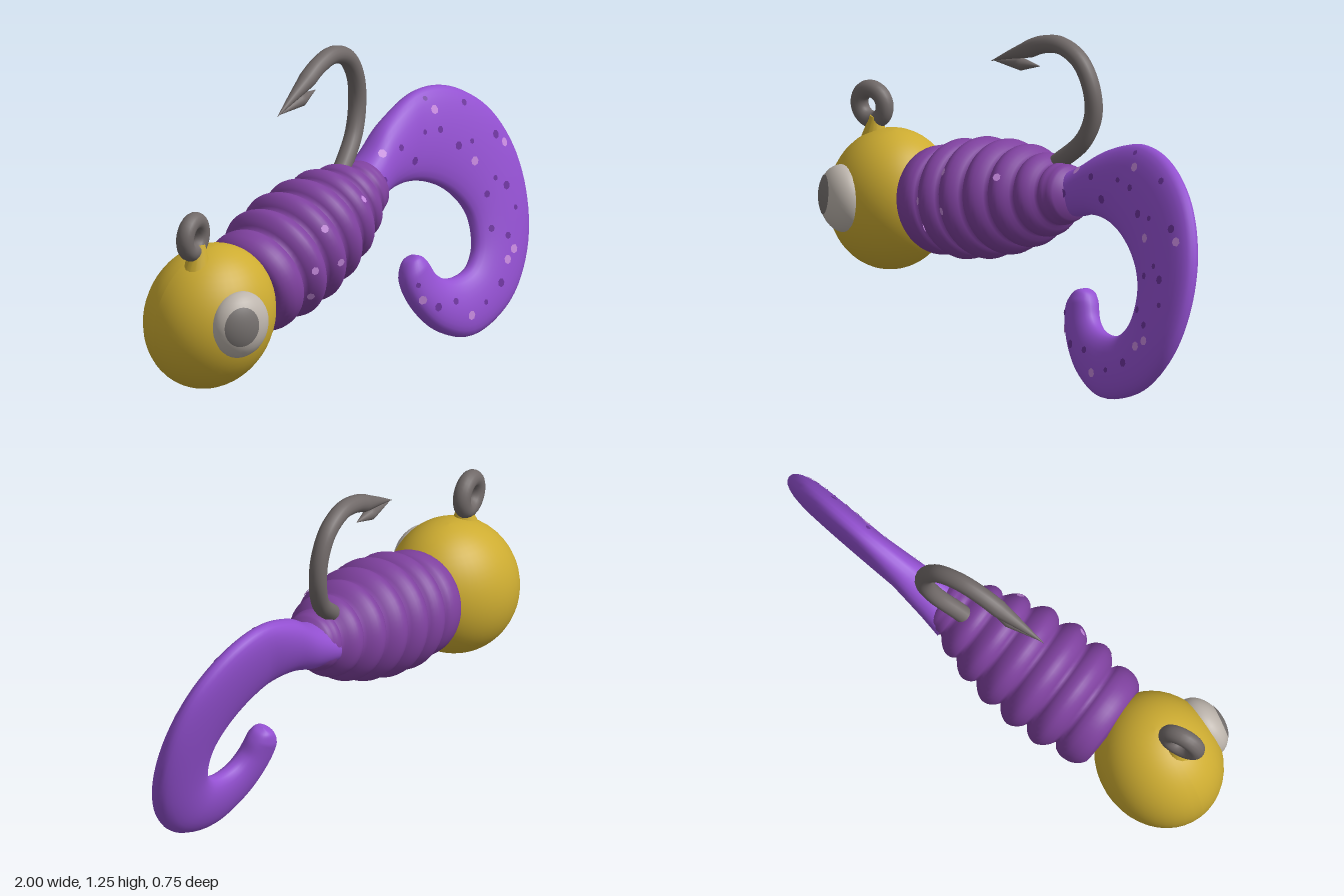
import * as THREE from 'three';

const V = (x, y, z) => new THREE.Vector3(x, y, z);
const mat = (name, color, side = THREE.FrontSide) => {
  const m = new THREE.MeshStandardMaterial({ color, side });
  m.name = name;
  return m;
};

// Smooth skin over rings of points
function loft(rings) {
  const n = rings[0].length, pos = [], idx = [];
  rings.forEach((ring) => ring.forEach((p) => pos.push(p.x, p.y, p.z)));
  for (let i = 0; i < rings.length - 1; i++) {
    for (let j = 0; j < n; j++) {
      const a = i * n + j, b = i * n + (j + 1) % n;
      idx.push(a, b, a + n, b, b + n, a + n);
    }
  }
  const g = new THREE.BufferGeometry();
  g.setAttribute('position', new THREE.Float32BufferAttribute(pos, 3));
  g.setIndex(idx);
  g.computeVertexNormals();
  return g;
}

// Ring of points spanned by two half-axis vectors
function ringAt(c, u, v, n, power = 1) {
  return Array.from({ length: n }, (_, j) => {
    const a = (j / n) * Math.PI * 2, s = Math.sin(a);
    return c.clone().addScaledVector(u, Math.cos(a))
      .addScaledVector(v, Math.sign(s) * Math.pow(Math.abs(s), power));
  });
}

// Round wire along a curve lying in a plane, with radius given by a rule
function wireLoft(curve, normal, steps, radius) {
  return loft(Array.from({ length: steps + 1 }, (_, i) => {
    const t = i / steps, r = radius(t);
    const side = normal.clone().cross(curve.getTangentAt(t)).normalize();
    return ringAt(curve.getPointAt(t), side.multiplyScalar(r), normal.clone().multiplyScalar(r), 18);
  }));
}

export function createModel() {
  const model = new THREE.Group();
  const gold = mat('gold', 0xcdac31), purple = mat('purple', 0x7f419f);
  const violet = mat('violet', 0x9350d1), steel = mat('steel', 0x706968);
  const white = mat('eye white', 0xbdb5ad), grey = mat('pupil grey', 0x777270);
  const pink = mat('pink fleck', 0xc488dc, THREE.DoubleSide);
  const dark = mat('dark fleck', 0x6b339b, THREE.DoubleSide);
  const add = (name, geo, material, x = 0, y = 0, z = 0) => {
    const m = new THREE.Mesh(geo, material);
    m.name = name;
    m.position.set(x, y, z);
    model.add(m);
    return m;
  };

  // Head: ellipsoid leaning slightly towards the body
  const headGeo = new THREE.SphereGeometry(1, 40, 28);
  headGeo.scale(0.26, 0.276, 0.234);
  headGeo.applyMatrix4(new THREE.Matrix4().makeShear(0, 0, 0.08, 0, 0, 0));
  headGeo.computeVertexNormals();
  add('head', headGeo, gold, -0.739, 0.442, 0.1);

  // Line tie: small neck and ring
  const neck = add('eyeletNeck', new THREE.CylinderGeometry(0.022, 0.065, 0.13, 16), gold, -0.815, 0.69, 0.13);
  neck.rotation.z = -0.1;
  add('eyelet', new THREE.TorusGeometry(0.061, 0.034, 16, 32), steel, -0.838, 0.79, 0.13).rotation.y = 0.42;

  // Eye on the front side, with a pupil cap
  const eyeScale = V(0.123, 0.13, 0.084);
  add('eye', new THREE.SphereGeometry(1, 32, 20).scale(...eyeScale), white, -0.746, 0.468, 0.3);
  const cap = new THREE.SphereGeometry(1.02, 28, 8, 0, Math.PI * 2, 0, 0.62);
  cap.applyQuaternion(new THREE.Quaternion().setFromUnitVectors(V(0, 1, 0), V(-0.34, 0.14, 0.93).normalize()));
  add('pupil', cap.scale(...eyeScale), grey, -0.746, 0.468, 0.3);

  // Ribbed body: lathe along a slanted axis
  const start = V(-0.6, 0.463, 0.058), axis = V(0.9, 0.245, -0.268).normalize();
  const edges = [0.07, 0.205, 0.332, 0.46, 0.584, 0.697, 0.795, 0.875];
  const radii = [0.207, 0.229, 0.232, 0.219, 0.194, 0.156, 0.112];
  const profile = [new THREE.Vector2(0.001, 0.07)];
  radii.forEach((r, i) => {
    const depth = r * 0.19;
    const before = radii[Math.max(i - 1, 0)], after = radii[Math.min(i + 1, radii.length - 1)];
    for (let k = 0; k < 10; k++) {
      const t = k / 10;
      const base = t < 0.5 ? THREE.MathUtils.lerp((before + r) / 2, r, t * 2)
        : THREE.MathUtils.lerp(r, (r + after) / 2, t * 2 - 1);
      profile.push(new THREE.Vector2(
        base - depth * (1 - Math.pow(Math.sin(Math.PI * t), 0.7)),
        THREE.MathUtils.lerp(edges[i], edges[i + 1], t)));
    }
  });
  profile.push(new THREE.Vector2(0.085, 0.878), new THREE.Vector2(0.05, 0.905), new THREE.Vector2(0.001, 0.915));
  const body = add('ribbedBody', new THREE.LatheGeometry(profile, 48), purple, ...start);
  body.quaternion.setFromUnitVectors(V(0, 1, 0), axis);

  // Curled tail: lens-shaped sections between an outer and an inner curve on a tilted plane
  const onPlane = ([x, y]) => V(x, y, 0.005 - 0.16 * x - 0.255 * y);
  const outer = new THREE.CatmullRomCurve3([
    [0.12, 0.73], [0.22, 0.785], [0.34, 0.875], [0.53, 0.945], [0.7, 0.918], [0.865, 0.805], [0.968, 0.63],
    [0.998, 0.43], [0.957, 0.24], [0.835, 0.08], [0.62, 0.003], [0.46, 0.06], [0.36, 0.165], [0.32, 0.27],
    [0.345, 0.34], [0.39, 0.364],
  ].map(onPlane));
  const inner = new THREE.CatmullRomCurve3([
    [0.14, 0.6], [0.22, 0.595], [0.33, 0.628], [0.45, 0.625], [0.56, 0.582], [0.645, 0.515], [0.695, 0.44],
    [0.707, 0.37], [0.695, 0.3], [0.65, 0.248], [0.58, 0.233], [0.515, 0.245], [0.475, 0.275], [0.445, 0.325],
    [0.42, 0.352], [0.39, 0.364],
  ].map(onPlane));
  const tailNormal = V(0.16, 0.255, 1).normalize();
  const tailRings = [];
  for (let i = 0; i <= 90; i++) {
    const t = i / 90, o = outer.getPoint(t), n = inner.getPoint(t);
    const thick = (0.055 + 0.045 * Math.max(0, 1 - t / 0.2)) * Math.sqrt(Math.min(1, (1 - t) / 0.12));
    tailRings.push(ringAt(o.clone().add(n).multiplyScalar(0.5), o.clone().sub(n).multiplyScalar(0.5),
      tailNormal.clone().multiplyScalar(thick), 28, 0.85));
  }
  const tail = add('curledTail', loft(tailRings), violet);

  // Hook: bent wire tapering to a point
  const hookPoint = ([x, y]) => V(x, y, -0.19 - 0.35 * x);
  const hookNormal = V(0.35, 0, 1).normalize();
  const wire = new THREE.CatmullRomCurve3([
    V(0.0, 0.7, -0.14), V(0.1, 0.785, -0.19), V(0.182, 0.875, -0.24),
    ...[[0.216, 0.98], [0.205, 1.09], [0.15, 1.182], [0.06, 1.221], [-0.03, 1.206],
      [-0.11, 1.167], [-0.19, 1.13], [-0.285, 1.083]].map(hookPoint),
  ]);
  add('hook', wireLoft(wire, hookNormal, 70, (t) => 0.034 * Math.min(1, (1 - t) / 0.2) + 0.0005), steel);

  // Barb: spindle running back from the hook point
  const barbLine = new THREE.LineCurve3(hookPoint([-0.275, 1.088]), hookPoint([-0.045, 1.116]));
  add('barb', wireLoft(barbLine, hookNormal, 20,
    (t) => 0.0005 + 0.025 * Math.min(t / 0.6, (1 - t) / 0.4)), steel);

  // Flecks: thin discs laid on the front surface
  model.updateMatrixWorld(true);
  const ray = new THREE.Raycaster();
  const fleck = (target, x, y, r, material) => {
    ray.set(V(x, y, 2), V(0, 0, -1));
    const hit = ray.intersectObject(target)[0];
    if (!hit) return;
    const normal = hit.face.normal.clone().transformDirection(target.matrixWorld);
    const disc = add('fleck', new THREE.CircleGeometry(r, 7), material,
      ...hit.point.clone().addScaledVector(normal, 0.003));
    disc.quaternion.setFromUnitVectors(V(0, 0, 1), normal);
  };
  [[0.265, 0.79], [0.57, 0.875], [0.73, 0.645], [0.9, 0.67], [0.82, 0.255], [0.86, 0.285], [0.375, 0.21], [0.6, 0.1]]
    .forEach(([x, y]) => fleck(tail, x, y, 0.018, pink));
  [[0.5, 0.81], [0.36, 0.79], [0.24, 0.7], [0.54, 0.92], [0.58, 0.8], [0.66, 0.72], [0.73, 0.72], [0.73, 0.86],
    [0.86, 0.71], [0.82, 0.56], [0.77, 0.51], [0.87, 0.52], [0.9, 0.43], [0.77, 0.38], [0.77, 0.18], [0.68, 0.13],
    [0.53, 0.17], [0.44, 0.17], [0.36, 0.27], [0.84, 0.34], [0.43, 0.72]]
    .forEach(([x, y], i) => fleck(tail, x, y, 0.011 + 0.003 * (i % 3), dark));
  [[-0.32, 0.56], [-0.18, 0.555], [0.02, 0.725], [-0.32, 0.45], [-0.23, 0.69]]
    .forEach(([x, y]) => fleck(body, x, y, 0.016, pink));

  return model;
}
